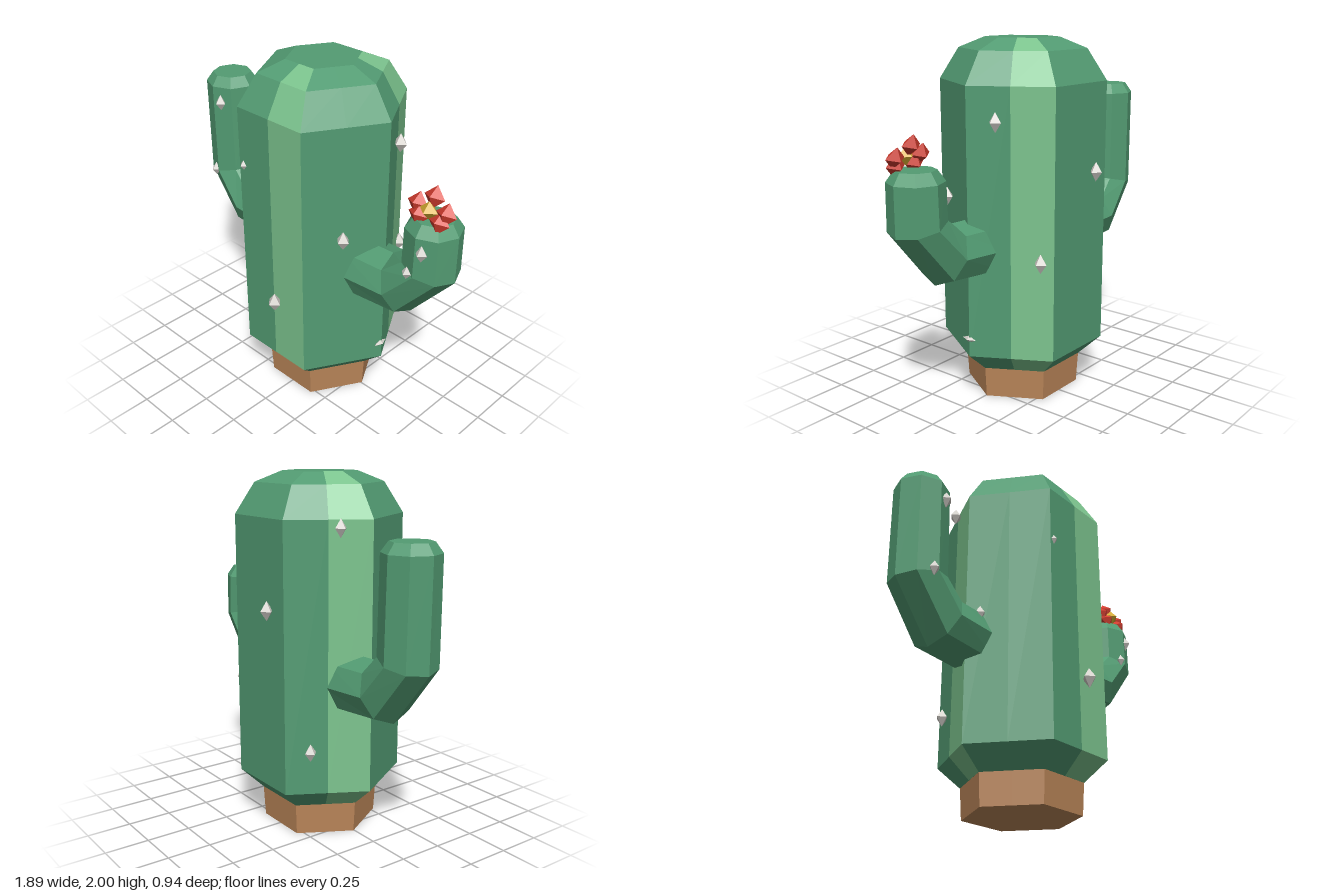
import * as THREE from 'three';

const mat = (name, color) => {
  const m = new THREE.MeshStandardMaterial({ color });
  m.name = name;
  return m;
};

// Ring of n points around (x, y, z), leaning by tilt in the xy plane; radius is a function of the index
function ring(n, x, y, z, tilt, radius) {
  return Array.from({ length: n }, (_, k) => {
    const a = (k / n) * Math.PI * 2, r = radius(k), s = Math.sin(a) * r;
    return [x + s * Math.cos(tilt), y - s * Math.sin(tilt), z + Math.cos(a) * r];
  });
}

// Closed flat-shaded skin over rings; stripes lists the columns that get the second material
function loft(rings, stripes = []) {
  const n = rings[0].length, plain = [], striped = [];
  const mid = (r) => [0, 1, 2].map((i) => r.reduce((s, p) => s + p[i], 0) / n);
  const first = rings[0], last = rings[rings.length - 1];
  const c0 = mid(first), c1 = mid(last);
  for (let k = 0; k < n; k++) {
    const j = (k + 1) % n, out = stripes.includes(k) ? striped : plain;
    for (let i = 0; i + 1 < rings.length; i++) {
      const a = rings[i][k], b = rings[i][j], c = rings[i + 1][j], d = rings[i + 1][k];
      out.push(...a, ...b, ...c, ...a, ...c, ...d);
    }
    plain.push(...c0, ...first[j], ...first[k], ...c1, ...last[k], ...last[j]);
  }
  const g = new THREE.BufferGeometry();
  g.setAttribute('position', new THREE.Float32BufferAttribute([...plain, ...striped], 3));
  g.addGroup(0, plain.length / 3, 0);
  if (striped.length) g.addGroup(plain.length / 3, striped.length / 3, 1);
  g.computeVertexNormals();
  return g;
}

export function createModel() {
  const model = new THREE.Group();
  model.name = 'cactus';
  const green = mat('cactus green', 0x539c73);
  const lightGreen = mat('light green', 0x7cc48e);
  const brown = mat('brown', 0xbb8659);
  const red = mat('petal red', 0xd03c2e);
  const yellow = mat('flower yellow', 0xd4aa30);
  const grey = mat('spine grey', 0xcfccc6);

  const add = (name, geometry, material, parent = model) => {
    const mesh = new THREE.Mesh(geometry, material);
    mesh.name = name;
    parent.add(mesh);
    return mesh;
  };

  // Hexagonal body and base: twelve points, corners plus side midpoints
  const hex = (y, r) => ring(12, -0.007, y, -0.005, 0,
    (k) => (k % 2 ? r : r * Math.cos(Math.PI / 6)));
  add('body', loft([hex(0.175, 0.335), hex(0.29, 0.463), hex(1.77, 0.463),
    hex(1.94, 0.355), hex(2, 0.205)], [0, 4, 8]), [green, lightGreen]);
  add('base', loft([hex(0, 0.323), hex(0.178, 0.334)]), [brown]);

  // Octagonal arms: rows of x, y, lean in degrees, radius; side mirrors the path
  const arm = (name, side, z, path) => add(name, loft(path.map(([x, y, lean, r]) =>
    ring(8, side * x, y, z, side * THREE.MathUtils.degToRad(lean), () => r))), [green]);
  arm('rightArm', -1, -0.045, [
    [0.3, 0.885, 87, 0.165], [0.63, 0.905, 66, 0.168], [0.793, 1.095, 13, 0.157],
    [0.8, 1.64, 0, 0.152], [0.8, 1.695, 0, 0.112]]);
  arm('leftArm', 1, 0.03, [
    [0.28, 0.885, 87, 0.168], [0.605, 0.907, 66, 0.168], [0.785, 1.095, 13, 0.155],
    [0.787, 1.325, 0, 0.15], [0.787, 1.385, 0, 0.108]]);

  // Small octahedra for spines and the flower
  const unit = new THREE.OctahedronGeometry(1);
  const gem = (name, [x, y, z], [sx, sy, sz], material, parent) => {
    const m = add(name, unit, material, parent);
    m.position.set(x, y, z);
    m.scale.set(sx, sy, sz);
    return m;
  };

  const spines = new THREE.Group();
  spines.name = 'spines';
  model.add(spines);
  [
    [-0.75, 1.55, 0.095, 0.048], [-0.82, 1.1, 0.105, 0.043], [-0.44, 1.005, 0.07, 0.045],
    [-0.21, 1.445, 0.39, 0.037], [0.36, 1.145, 0.23, 0.054], [0.82, 1.245, 0.17, 0.047],
    [0.745, 1.105, 0.18, 0.038], [0.033, 0.69, 0.43, 0.057], [0.4, 1.59, -0.155, 0.054],
    [0.27, 0.845, -0.35, 0.054], [-0.115, 1.29, -0.43, 0.054], [-0.325, 0.535, -0.3, 0.05],
    [-0.41, 1.73, -0.17, 0.05],
  ].forEach(([x, y, z, s]) => gem('spine', [x, y, z], [s * 0.76, s, s * 0.72], grey, spines));
  gem('sideSpine', [0.45, 0.39, 0], [0.02, 0.02, 0.047], grey, spines);

  // Flower leaning back on the short arm
  const flower = new THREE.Group();
  flower.name = 'flower';
  model.add(flower);
  gem('flowerCentre', [0.79, 1.447, 0.092], [0.055, 0.05, 0.045], yellow, flower);
  [[0, 1.505, 0.052], [-0.083, 1.45, 0.073], [0.09, 1.45, 0.073],
    [-0.058, 1.405, 0.095], [0.068, 1.405, 0.095]].forEach(([x, y, z]) =>
    gem('petal', [0.79 + x, y, z], [0.062, 0.06, 0.045], red, flower).rotation.x = -0.35);

  return model;
}
